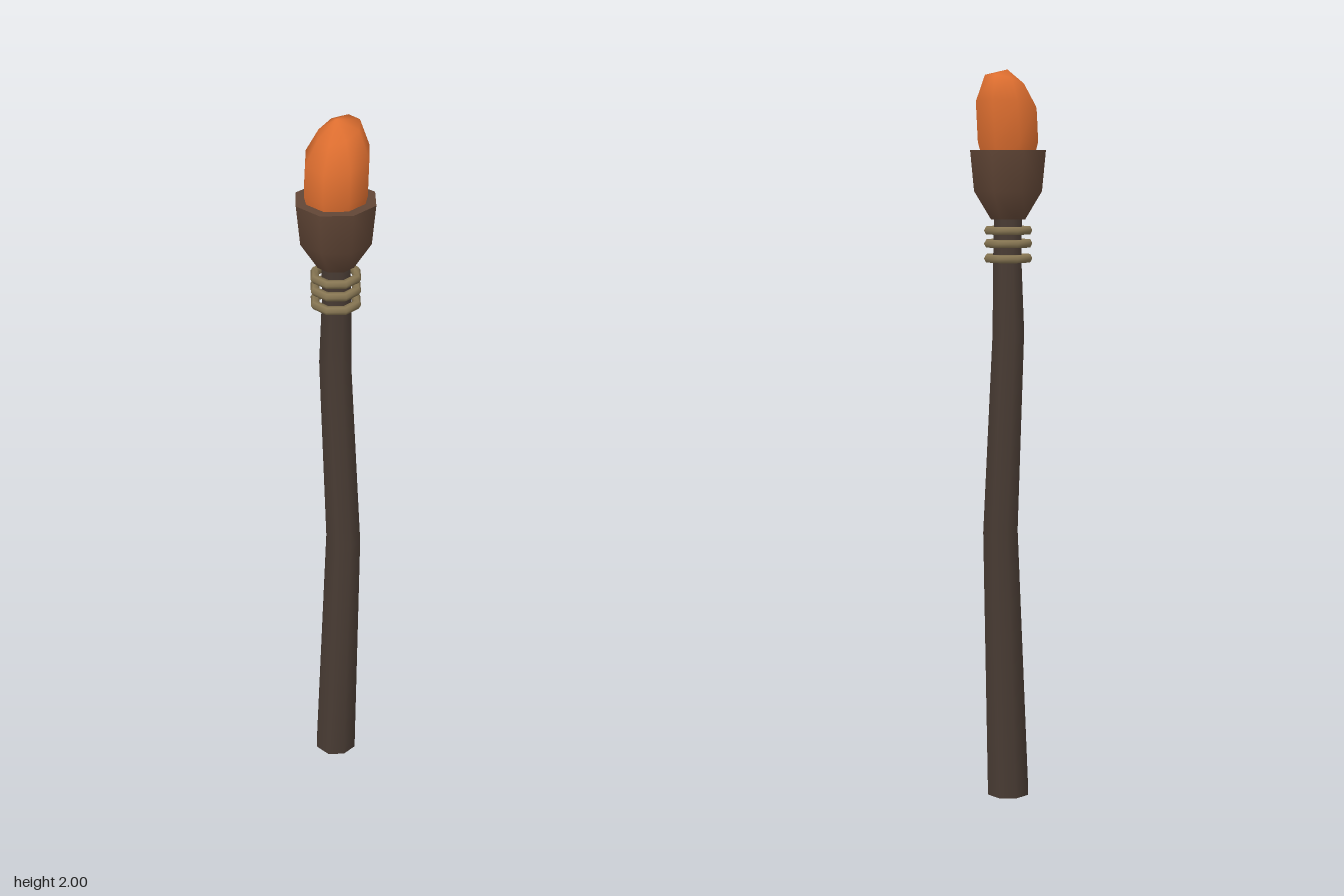
import * as THREE from 'three';

const SIDES = 8;

// Smooth skin through rings of eight [x, y, z] points, listed from bottom to top
function loft(rings, apex) {
  const pos = rings.flat(2);
  const index = [];
  for (let i = 0; i < rings.length - 1; i++) {
    for (let j = 0; j < SIDES; j++) {
      const a = i * SIDES + j, b = i * SIDES + (j + 1) % SIDES;
      index.push(a, a + SIDES, b, b, a + SIDES, b + SIDES);
    }
  }
  if (apex) {
    const base = (rings.length - 1) * SIDES;
    pos.push(...apex);
    for (let j = 0; j < SIDES; j++) index.push(base + j, rings.length * SIDES, base + (j + 1) % SIDES);
  }
  const geo = new THREE.BufferGeometry();
  geo.setAttribute('position', new THREE.Float32BufferAttribute(pos, 3));
  geo.setIndex(index);
  geo.computeVertexNormals();
  return geo;
}

// Ring with its own centre, half widths and tilt
function ring(cx, y, cz, rx, rz, tiltX = 0, tiltZ = 0) {
  return Array.from({ length: SIDES }, (_, j) => {
    const a = j / SIDES * Math.PI * 2;
    const x = cx + rx * Math.cos(a), z = cz + rz * Math.sin(a);
    return [x, y + tiltX * x + tiltZ * z, z];
  });
}

export function createModel() {
  const group = new THREE.Group();
  const mat = (name, color) => {
    const m = new THREE.MeshStandardMaterial({ color });
    m.name = name;
    return m;
  };
  const wood = mat('dark wood', 0x483b33);
  const cupWood = mat('brown cup', 0x614636);
  const rope = mat('tan rope', 0x877653);
  const ember = mat('orange ember', 0xdf6f30);

  const add = (name, geo, material, y = 0) => {
    const m = new THREE.Mesh(geo, material);
    m.name = name;
    m.position.y = y;
    group.add(m);
    return m;
  };
  const disc = (name, r, y, up, material) => {
    add(name, new THREE.CircleGeometry(r, SIDES).rotateX(up ? -Math.PI / 2 : Math.PI / 2), material, y);
  };

  // Crooked tapering shaft: [centre x, y, centre z, radius]
  const shaft = [
    [0, 0, 0, 0.061], [0.018, 0.75, -0.012, 0.051], [-0.008, 1.3, -0.017, 0.046],
    [0.001, 1.5, -0.004, 0.041], [0, 1.63, 0, 0.04],
  ];
  add('shaft', loft(shaft.map(([x, y, z, r]) => ring(x, y, z, r, r))), wood);
  disc('shaftEnd', 0.061, 0, false, wood);

  // Rope bindings
  for (const y of [1.5, 1.54, 1.575]) {
    add('binding', new THREE.TorusGeometry(0.058, 0.012, 6, SIDES).rotateX(Math.PI / 2), rope, y);
  }

  // Cup with flat rim
  const profile = [[0.05, 1.605], [0.098, 1.68], [0.109, 1.788]].map(p => new THREE.Vector2(...p));
  add('cup', new THREE.LatheGeometry(profile, SIDES), cupWood);
  disc('cupRim', 0.109, 1.788, true, cupWood);
  disc('cupBase', 0.05, 1.605, false, cupWood);

  // Uneven egg-shaped ember leaning to the back
  add('ember', loft([
    ring(0, 1.75, 0, 0.07, 0.07),
    ring(0, 1.81, 0, 0.086, 0.089),
    ring(0, 1.90, -0.011, 0.085, 0.093, 0, -0.2),
    ring(0.003, 1.965, -0.013, 0.054, 0.066, 0.12, -0.25),
  ], [0, 2, -0.005]), ember);

  return group;
}
